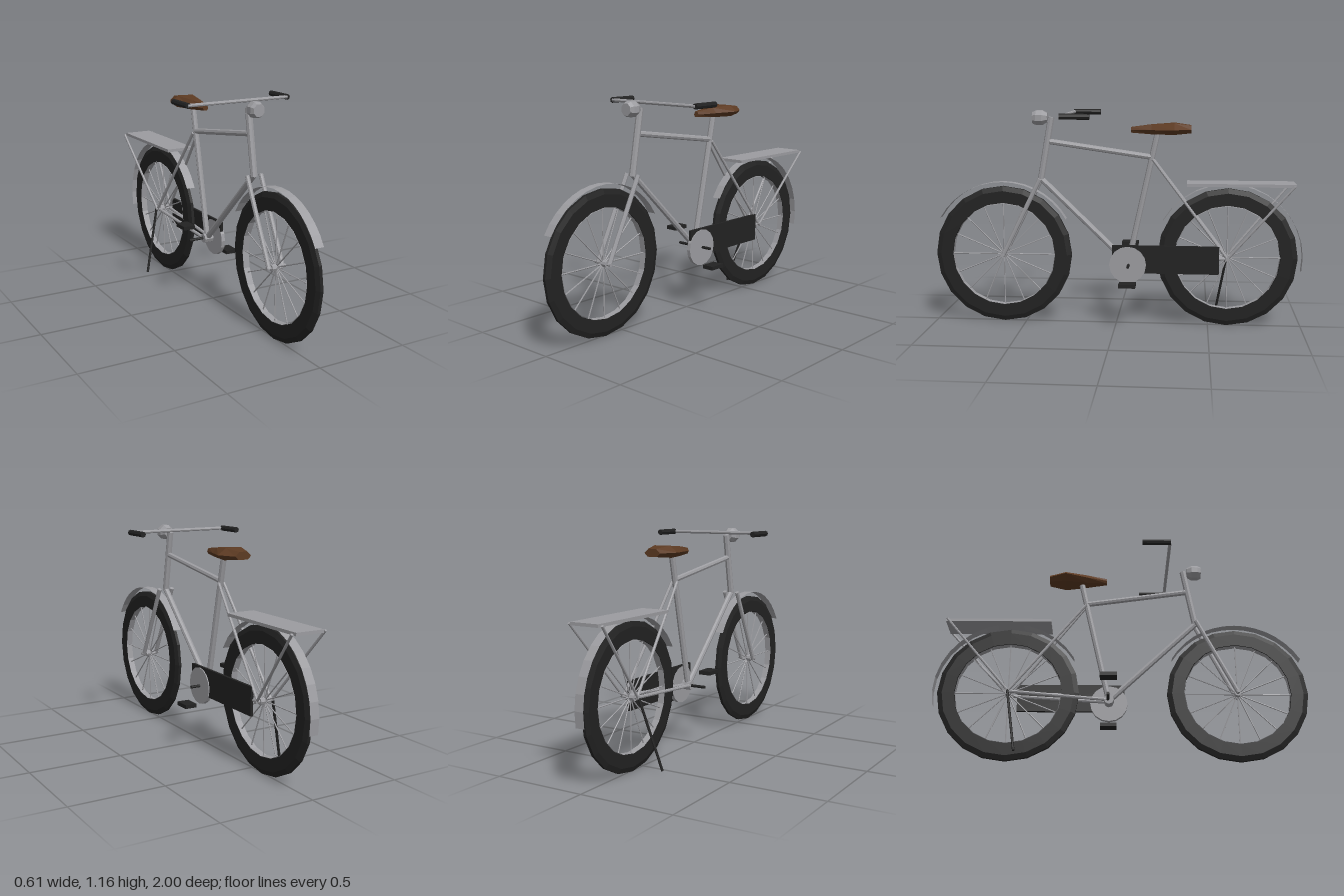
import * as THREE from 'three';

const mat = (name, color, side = THREE.FrontSide) => {
  const m = new THREE.MeshStandardMaterial({ color, flatShading: true, side });
  m.name = name;
  return m;
};

export function createModel() {
  const bike = new THREE.Group();
  bike.name = 'bicycle';
  const steel = mat('grey steel', 0x9c9ca0, THREE.DoubleSide);
  const black = mat('black rubber', 0x222222);
  const leather = mat('brown leather', 0x5c3a22);

  const add = (name, geo, material, parent = bike) => {
    const mesh = new THREE.Mesh(geo, material);
    mesh.name = name;
    parent.add(mesh);
    return mesh;
  };
  // Straight tube between two points
  const rod = (name, a, b, r, material = steel, sides = 8, parent = bike) => {
    const p = new THREE.Vector3(...a), q = new THREE.Vector3(...b);
    const d = q.clone().sub(p);
    const mesh = add(name, new THREE.CylinderGeometry(r, r, d.length(), sides), material, parent);
    mesh.position.copy(p).addScaledVector(d, 0.5);
    mesh.quaternion.setFromUnitVectors(new THREE.Vector3(0, 1, 0), d.normalize());
    return mesh;
  };
  const box = (name, size, pos, material) =>
    add(name, new THREE.BoxGeometry(...size), material).position.set(...pos);
  const lathe = (pts, n) =>
    new THREE.LatheGeometry(pts.map(p => new THREE.Vector2(...p)), n);

  // Wheels with tyre, rim, spokes, hub and mudguard
  const wheel = (name, z, arcEnd) => {
    const g = new THREE.Group();
    g.name = name;
    g.position.set(0, 0.38, z);
    bike.add(g);
    const tyre = [[0.285, -0.018], [0.35, -0.018], [0.376, -0.008], [0.376, 0.008],
      [0.35, 0.018], [0.285, 0.018], [0.285, -0.018]];
    add('tyre', lathe(tyre, 20).rotateZ(Math.PI / 2), black, g);
    add('rim', lathe([[0.282, -0.018], [0.282, 0.018]], 20).rotateZ(Math.PI / 2), steel, g);
    for (let i = 0; i < 16; i++) {
      const a = i * Math.PI / 8;
      rod('spoke', [0, 0, 0], [0, Math.sin(a) * 0.284, Math.cos(a) * 0.284], 0.0035, steel, 5, g);
    }
    rod('hub', [-0.03, 0, 0], [0.03, 0, 0], 0.018, steel, 8, g);
    rod('axle', [-0.055, 0, 0], [0.055, 0, 0], 0.009, steel, 8, g);
    const start = Math.PI / 6;
    const guard = new THREE.CylinderGeometry(0.4, 0.4, 0.05, 14, 1, true, start, arcEnd - start);
    add('mudguard', guard.rotateZ(Math.PI / 2), steel, g);
  };
  wheel('frontWheel', 0.62, Math.PI * 5 / 6);
  wheel('rearWheel', -0.6, Math.PI * 19 / 18);

  // Frame
  rod('headTube', [0, 0.79, 0.41], [0, 1.13, 0.35], 0.018);
  rod('topTube', [0, 1.0, 0.36], [0, 0.92, -0.19], 0.015);
  rod('downTube', [0, 0.8, 0.41], [0, 0.34, -0.065], 0.016);
  rod('seatTube', [0, 0.34, -0.065], [0, 1.04, -0.218], 0.016);
  rod('bottomBracket', [-0.026, 0.34, -0.065], [0.026, 0.34, -0.065], 0.026);
  for (const s of [-1, 1]) {
    rod('forkBlade', [s * 0.04, 0.8, 0.41], [s * 0.04, 0.375, 0.62], 0.012);
    rod('seatStay', [s * 0.015, 0.91, -0.195], [s * 0.04, 0.38, -0.6], 0.008);
    rod('chainStay', [s * 0.018, 0.34, -0.07], [s * 0.035, 0.38, -0.6], 0.009);
    rod('rackStrut', [s * 0.094, 0.78, -0.94], [s * 0.045, 0.38, -0.6], 0.007);
    rod('grip', [s * 0.29, 1.147, 0.265], [s * 0.29, 1.147, 0.112], 0.015, black);
  }
  rod('handlebar', [-0.29, 1.147, 0.26], [0.29, 1.147, 0.26], 0.009);

  // Rear rack and kickstand
  box('rack', [0.156, 0.016, 0.57], [0, 0.78, -0.665], steel);
  rod('kickstand', [-0.05, 0.38, -0.6], [-0.145, 0.013, -0.54], 0.007, black);

  // Drive: guard, chainring, axle and pedals
  box('chainGuard', [0.015, 0.152, 0.575], [0.043, 0.37, -0.268], black);
  rod('chainring', [0.035, 0.34, -0.065], [0.056, 0.34, -0.065], 0.1, steel, 16);
  rod('crankAxle', [-0.11, 0.34, -0.07], [0.11, 0.34, -0.07], 0.008, black);
  for (const s of [-1, 1])
    box('pedal', [0.066, 0.02, 0.09], [s * 0.133, 0.337 - s * 0.09, -0.068], black);

  // Headlamp, opening forwards
  const lamp = lathe([[0, -0.04], [0.026, -0.04], [0.042, -0.012], [0.042, 0.02],
    [0.033, 0.04], [0, 0.04]], 8);
  lamp.rotateY(Math.PI / 8).rotateX(Math.PI / 2);
  add('headlamp', lamp, steel).position.set(0, 1.127, 0.41);

  // Saddle lofted from hexagonal sections: z, half width, bottom, top
  const sections = [[-0.08, 0.016, 1.05, 1.08], [-0.19, 0.048, 1.043, 1.094],
    [-0.31, 0.092, 1.042, 1.102], [-0.4, 0.046, 1.05, 1.09]];
  const pos = [], idx = [];
  for (const [z, w, b, t] of sections) {
    const m = b + (t - b) * 0.45;
    for (const [x, y] of [[w, m], [w * 0.5, t], [-w * 0.5, t], [-w, m], [-w * 0.6, b], [w * 0.6, b]])
      pos.push(x, y, z);
  }
  const last = (sections.length - 1) * 6;
  for (let s = 0; s < last; s += 6)
    for (let i = 0; i < 6; i++) {
      const a = s + i, b = s + (i + 1) % 6;
      idx.push(a, a + 6, b, b, a + 6, b + 6);
    }
  for (let i = 1; i < 5; i++) idx.push(0, i, i + 1, last, last + i + 1, last + i);
  const saddle = new THREE.BufferGeometry();
  saddle.setAttribute('position', new THREE.Float32BufferAttribute(pos, 3));
  saddle.setIndex(idx);
  saddle.computeVertexNormals();
  add('saddle', saddle, leather);

  return bike;
}
